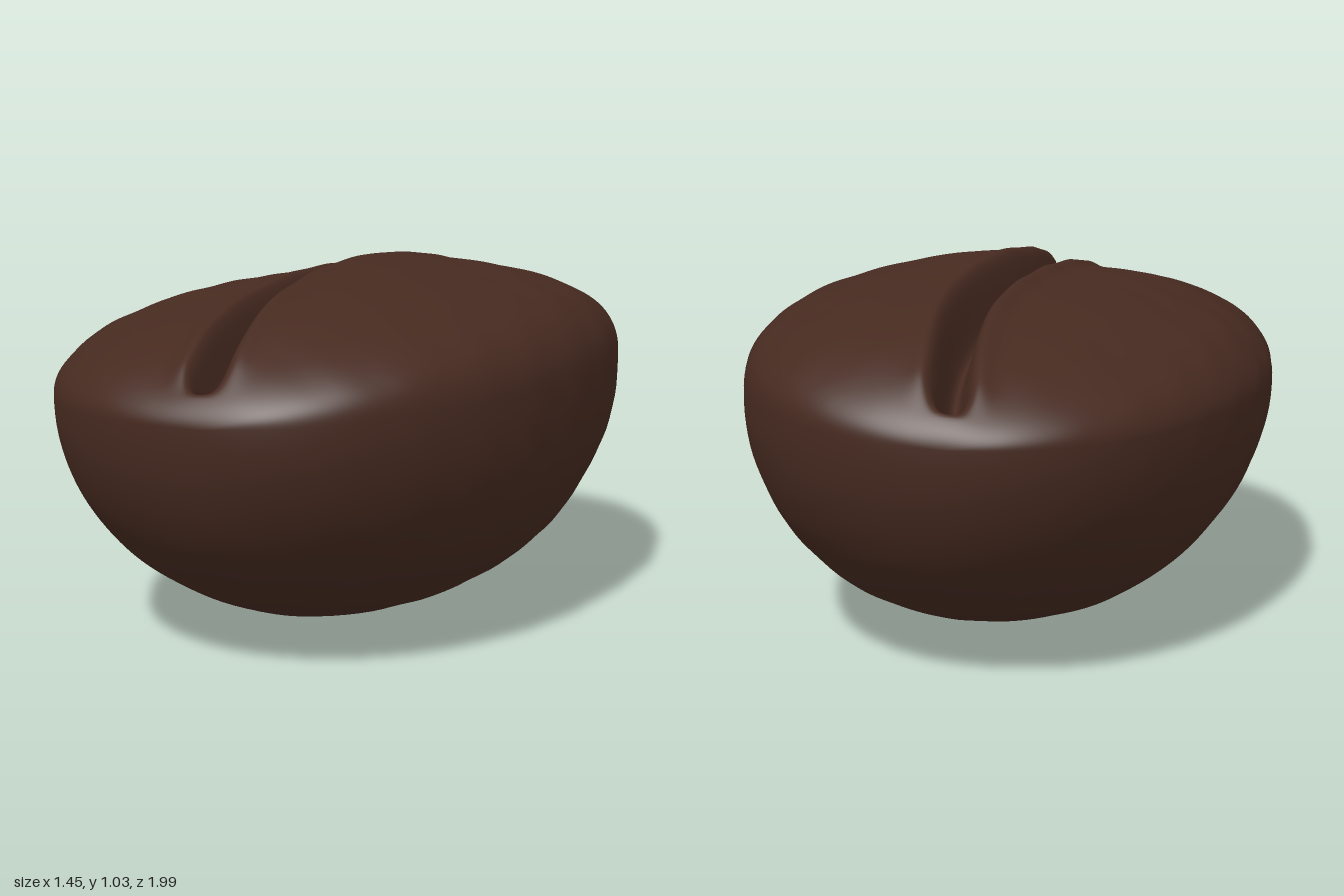
import * as THREE from 'three';
import { mergeVertices } from 'three/addons/utils/BufferGeometryUtils.js';

const HALF_W = 0.723, RIM_Y = 0.69;
const ROWS = 140, TOP = 130, BOTTOM = 70;
const { smoothstep, lerp, clamp } = THREE.MathUtils;

// centre line of the crease, a gentle S
const crease = z => -0.053 * Math.sin(Math.PI * z) - 0.004;

// soft irregular ripples of the skin
const ripple = (x, y, z) => 0.005 * (
  Math.sin(9 * x + 4 * z + 1) * Math.sin(7 * z - 5 * y) +
  0.6 * Math.sin(19 * x - 11 * z + 6 * y) * Math.sin(13 * z + 9 * y + 2) +
  0.3 * Math.sin(31 * x + 23 * y) * Math.sin(27 * z - 17 * y));

// height of the upper face: a fuller left lobe, raised lips and the crease
function topHeight(x, z, R, u) {
  const d = x - crease(z);
  const side = smoothstep(d, -0.12, 0.12);
  const h = lerp(0.29, 0.335, side);
  const across = Math.pow(Math.max(0, 1 - u * u), lerp(0.5, 0.34, side));
  const ends = 1 - smoothstep(Math.abs(z), 0.86, 0.96);
  const lip = 0.012 * Math.exp(-(((Math.abs(d) - 0.072) / 0.032) ** 2));
  const cut = 0.15 * Math.exp(-(Math.abs(d / 0.036) ** 2.4));
  return RIM_Y + h * Math.pow(R, 1.14) * across + ends * (lip - cut);
}

function beanGeometry() {
  const pos = [], index = [], n = TOP + BOTTOM;
  for (let i = 0; i <= ROWS; i++) {
    const phi = Math.PI * i / ROWS;
    const z = -Math.cos(phi), R = Math.max(0, Math.sin(phi));
    const width = HALF_W * Math.pow(R, 0.89);
    const shift = R > 0.01 ? clamp(crease(z) / width, -0.25, 0.25) : 0;
    for (let j = 0; j < n; j++) {
      const top = j < TOP;
      let u;
      if (top) { // columns crowd toward the crease
        const s = 2 * j / TOP - 1;
        u = Math.sin(Math.PI / 2 * (0.45 * s + 0.55 * s ** 3));
        u += shift * (1 - u * u);
      } else {
        u = Math.cos(Math.PI * (j - TOP) / BOTTOM);
      }
      const x = width * u;
      const zs = 0.997 * (z - 0.16 * x * R);
      const fall = Math.max(0, R * R * (1 - u * u));
      const y = top ? topHeight(x, zs, R, u) : RIM_Y - (RIM_Y - 0.003) * Math.pow(fall, 0.485);
      const w = ripple(x, y, zs) * R;
      pos.push(x * (1 + w), y + (top ? w : -w) * 0.7, zs);
    }
  }
  for (let i = 0; i < ROWS; i++) {
    for (let j = 0; j < n; j++) {
      const k = (j + 1) % n;
      const a = i * n + j, b = i * n + k, c = a + n, d = b + n;
      index.push(a, c, b, b, c, d);
    }
  }
  let geo = new THREE.BufferGeometry();
  geo.setAttribute('position', new THREE.Float32BufferAttribute(pos, 3));
  geo.setIndex(index);
  geo = mergeVertices(geo, 1e-5);
  geo.computeVertexNormals();
  return geo;
}

export function createModel() {
  const group = new THREE.Group();
  group.name = 'coffeeBean';
  const roast = new THREE.MeshStandardMaterial({ color: 0x462a20 });
  roast.name = 'darkRoastBrown';
  const bean = new THREE.Mesh(beanGeometry(), roast);
  bean.name = 'beanBody';
  group.add(bean);
  return group;
}
